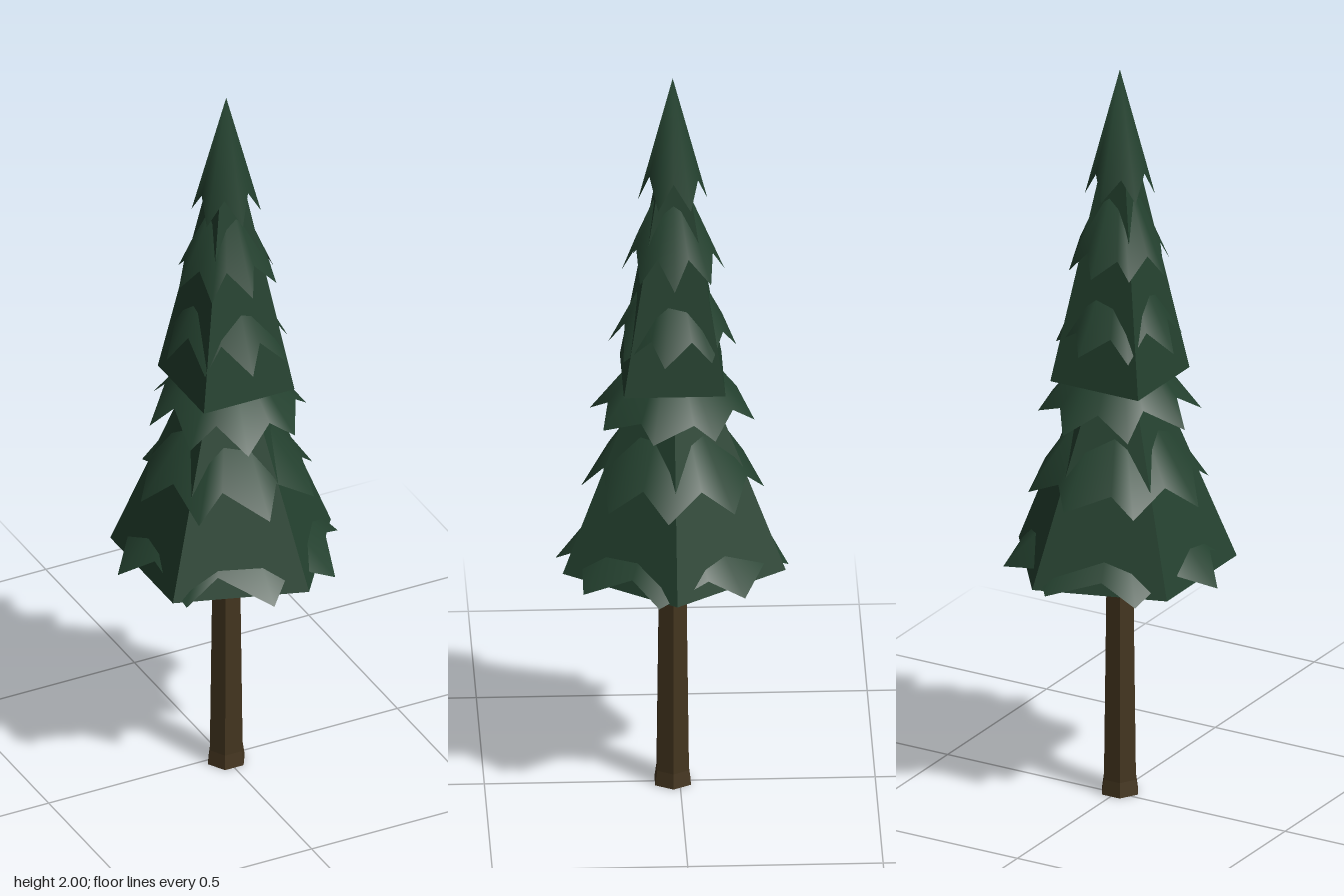
import * as THREE from 'three';

const CZ = 0.018; // the trunk axis sits slightly forward

function faceted(geometry) {
  const g = geometry.toNonIndexed();
  g.computeVertexNormals();
  return g;
}

// Smooth cone whose lower rim is cut into pointed needle tips
function needleCone(apexY, tipY, tipR, depth, tips, phase, jitter) {
  const pos = [0, apexY, 0], index = [], n = tips * 2;
  for (let i = 0; i < n; i++) {
    const isTip = i % 2 === 0;
    const wobble = jitter * Math.sin(i * 2.7 + phase * 9);
    const y = tipY + (isTip ? Math.abs(wobble) * 0.1 : depth + wobble * 0.15);
    const r = tipR * (apexY - y) / (apexY - tipY);
    const a = phase + (i / n) * Math.PI * 2 + wobble;
    pos.push(Math.cos(a) * r, y, Math.sin(a) * r);
    index.push(0, 1 + (i + 1) % n, 1 + i);
  }
  const g = new THREE.BufferGeometry();
  g.setAttribute('position', new THREE.Float32BufferAttribute(pos, 3));
  g.setIndex(index);
  g.computeVertexNormals();
  return g;
}

export function createModel() {
  const group = new THREE.Group();
  const needles = new THREE.MeshStandardMaterial({ color: 0x24412f, side: THREE.DoubleSide });
  needles.name = 'dark green needles';
  const bark = new THREE.MeshStandardMaterial({ color: 0x44351f });
  bark.name = 'brown bark';

  const add = (name, geometry, material) => {
    const mesh = new THREE.Mesh(geometry, material);
    mesh.name = name;
    mesh.position.z = CZ;
    group.add(mesh);
  };

  // Six-sided trunk with a slightly flared foot
  const profile = [[0, 0], [0.053, 0], [0.047, 0.04], [0.038, 0.7]].map(([r, y]) => new THREE.Vector2(r, y));
  add('trunk', faceted(new THREE.LatheGeometry(profile, 6, Math.PI / 2)), bark);

  // Faceted foliage bodies: [name, base radius, base y, apex y, sides, start angle]
  for (const [name, r, y0, y1, sides, start] of [
    ['lowerFoliage', 0.3, 0.64, 1.38, 5, Math.PI / 2],
    ['upperFoliage', 0.13 * Math.SQRT2, 1.155, 1.95, 4, Math.PI / 4],
  ]) {
    const g = new THREE.ConeGeometry(r, y1 - y0, sides, 1, false, start);
    g.translate(0, (y0 + y1) / 2, 0);
    add(name, faceted(g), needles);
  }

  // Ragged branch tiers: [apex y, tip y, tip radius, notch depth, tips, phase, jitter]
  [
    [0.95, 0.628, 0.305, 0.06, 8, 0.1, 0.07],
    [1.2, 0.84, 0.24, 0.07, 8, 0.05, 0.08],
    [1.32, 1.045, 0.215, 0.06, 8, 0.2, 0.08],
    [1.57, 1.245, 0.168, 0.07, 8, 0.1, 0.08],
    [1.77, 1.455, 0.135, 0.07, 8, 0.0, 0.08],
    [2.0, 1.655, 0.09, 0.075, 6, Math.PI / 6, 0.05],
  ].forEach((tier, i) => add(i === 5 ? 'treeTop' : 'branchTier' + (i + 1), needleCone(...tier), needles));

  return group;
}
